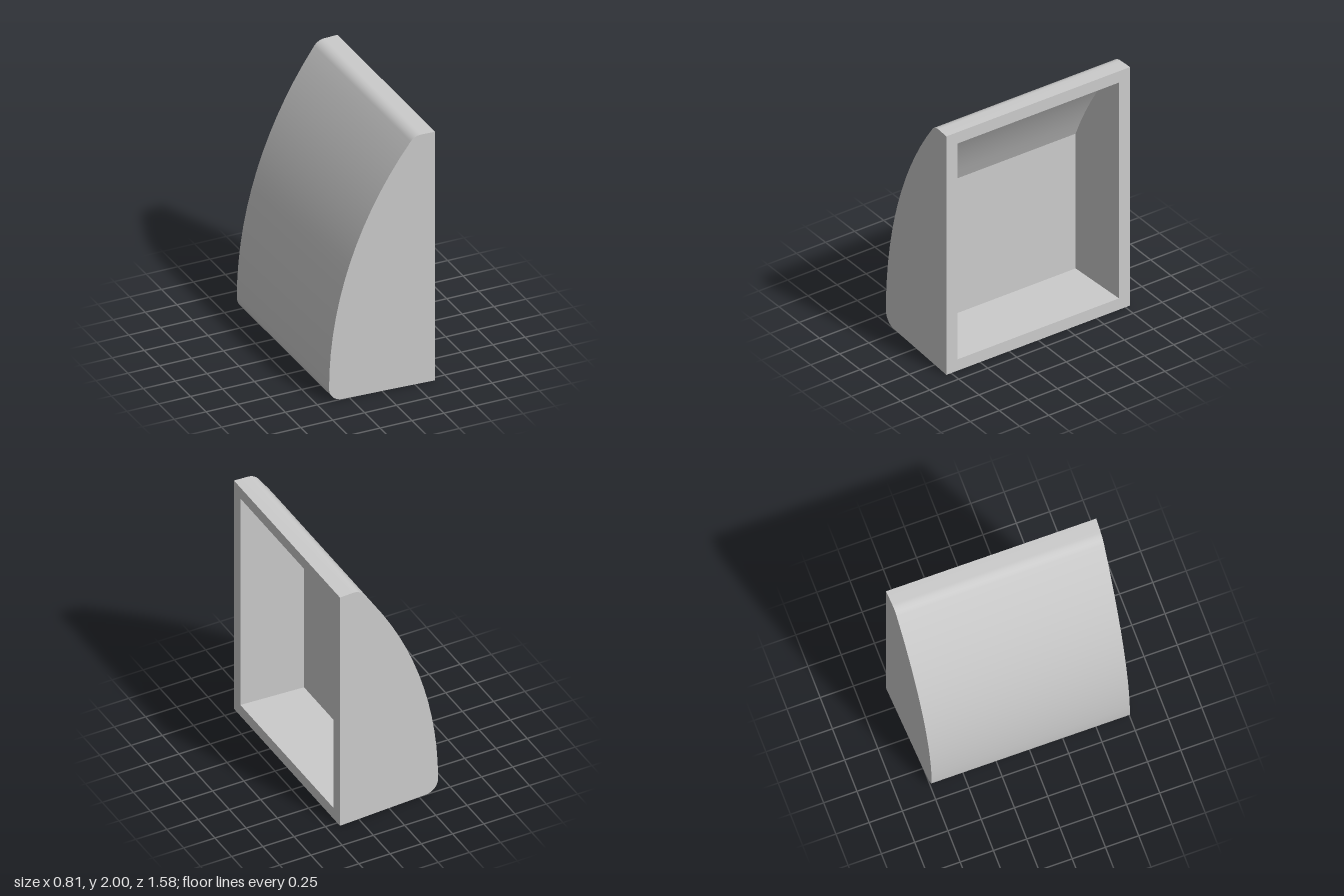
import * as THREE from 'three';
import { toCreasedNormals } from 'three/addons/utils/BufferGeometryUtils.js';

const FRONT = 0.405;          // x of the open face
const TAPER = 0.0556;         // narrowing of the half width per unit of depth
const CX = 2.685, CY = 0.1, R = 3.09; // centre and radius of the big back curve

// Points along an arc, leaving out the start point when skip is 1
function arc(cx, cy, r, a0, a1, n, skip = 0) {
  const pts = [];
  for (let i = skip; i <= n; i++) {
    const a = a0 + (a1 - a0) * i / n;
    pts.push(new THREE.Vector2(cx + r * Math.cos(a), cy + r * Math.sin(a)));
  }
  return pts;
}

// Extrude a side profile across z, taper it, and leave the face at x = FRONT open
function taperedShell(points, halfWidth, inward) {
  const src = new THREE.ExtrudeGeometry(new THREE.Shape(points), { depth: 2, bevelEnabled: false, steps: 1 });
  const flat = src.index ? src.toNonIndexed() : src;
  const p = flat.attributes.position;
  const out = [];
  for (let i = 0; i < p.count; i += 3) {
    const tri = [0, 1, 2].map(k => new THREE.Vector3().fromBufferAttribute(p, i + k));
    if (tri.every(v => Math.abs(v.x - FRONT) < 1e-4)) continue;
    if (inward) tri.reverse();
    for (const v of tri) out.push(v.x, v.y, (v.z - 1) * (halfWidth - TAPER * (FRONT - v.x)));
  }
  const g = new THREE.BufferGeometry();
  g.setAttribute('position', new THREE.Float32BufferAttribute(out, 3));
  return toCreasedNormals(g, 0.4);
}

function rectangle(Type, w, y0, y1) {
  const s = new Type();
  s.moveTo(-w, y0).lineTo(w, y0).lineTo(w, y1).lineTo(-w, y1).closePath();
  return s;
}

export function createModel() {
  const group = new THREE.Group();
  const material = new THREE.MeshStandardMaterial({ color: 0xcccccc });
  const add = (name, geometry) => {
    const mesh = new THREE.Mesh(geometry, material);
    mesh.name = name;
    group.add(mesh);
    return mesh;
  };
  const V = (x, y) => new THREE.Vector2(x, y);

  // Outer body: curved back with a rounded edge at the top and bottom
  const r = 0.1, topY = 2 - r;
  const topX = CX - Math.sqrt((R - r) ** 2 - (topY - CY) ** 2);
  const meet = Math.atan2(topY - CY, topX - CX);
  add('outerBody', taperedShell([
    V(FRONT, 0), V(FRONT, 2),
    ...arc(topX, topY, r, Math.PI / 2, meet, 8),
    ...arc(CX, CY, R, meet, Math.PI, 14, 1),
    ...arc(CX - R + r, CY, r, Math.PI, Math.PI * 1.5, 10, 1),
  ], 0.79, false));

  // Cavity: flat back wall below, curve parallel to the outer back above
  const low = 0.095, high = 1.905, innerR = R - 0.095;
  const a0 = Math.PI - Math.asin((high - CY) / innerR);
  const a1 = Math.PI - Math.asin((1.225 - CY) / innerR);
  const curve = arc(CX, CY, innerR, a0, a1, 6);
  add('cavity', taperedShell([
    V(FRONT, low), V(FRONT, high), ...curve, V(curve[curve.length - 1].x, low),
  ], 0.695, true));

  // Flat rim around the opening
  const rim = rectangle(THREE.Shape, 0.79, 0, 2);
  rim.holes.push(rectangle(THREE.Path, 0.695, low, high));
  const rimMesh = add('openingRim', new THREE.ShapeGeometry(rim));
  rimMesh.rotation.y = Math.PI / 2;
  rimMesh.position.x = FRONT;

  return group;
}
